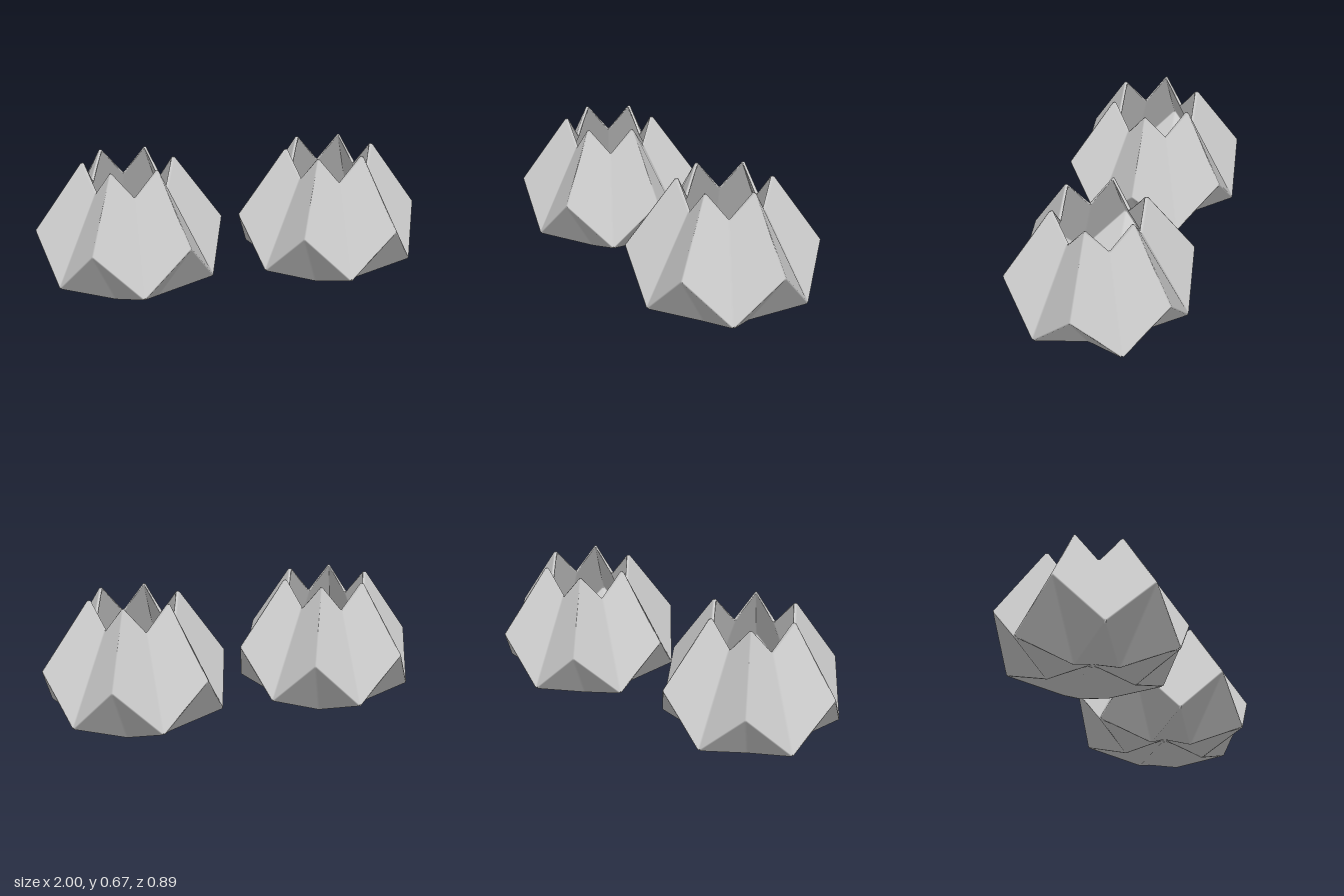
import * as THREE from 'three';

const BEVEL = 0.006;

// Meridian points [radius, height]; ridges at 0, 60, ... degrees, valleys halfway between
const RIDGE = {
  foot: [0.211, -0.004], shoulder: [0.482, 0.335], peak: [0.236, 0.682],
  footIn: [0.207, 0.026], shoulderIn: [0.455, 0.335], peakIn: [0.216, 0.674],
};
const VALLEY = {
  hem: [0.45, 0.1], notch: [0.208, 0.543],
  hemIn: [0.418, 0.116], notchIn: [0.19, 0.536],
};

// Closed folded shell as shared points and polygon facets
function foldedShell() {
  const points = [new THREE.Vector3(0, 0.088, 0), new THREE.Vector3(0, 0.113, 0)];
  const ids = { centre: 0, centreIn: 1 };
  for (let i = 0; i < 12; i++) {
    const a = (i * Math.PI) / 6;
    for (const [name, [r, y]] of Object.entries(i % 2 ? VALLEY : RIDGE)) {
      ids[name + i] = points.length;
      points.push(new THREE.Vector3(r * Math.cos(a), y, r * Math.sin(a)));
    }
  }
  const facets = [];
  for (let r = 0; r < 12; r += 2) {
    for (const side of [1, 11]) {
      const v = (r + side) % 12;
      const add = (names, flip) => {
        const f = names.map((n) => ids[n] ?? ids[n + (n in RIDGE ? r : v)]);
        facets.push((side === 11) !== flip ? f.reverse() : f);
      };
      // Outside and inside skins
      for (const s of ['', 'In']) {
        const flip = s === 'In';
        add(['shoulder', 'peak', 'notch', 'hem'].map((n) => n + s), flip);
        add(['foot', 'shoulder', 'hem'].map((n) => n + s), flip);
        add(['centre', 'foot', 'hem'].map((n) => n + s), flip);
      }
      // Rim strip
      add(['notch', 'peak', 'peakIn', 'notchIn'], false);
    }
  }
  return { points, facets };
}

// Inset each facet, then bridge edges and corners with softly shaded bevels
function bevelFacets({ points, facets }, width) {
  const position = [], normal = [], index = [];
  const corner = new Map(); // "from,to" -> inset corner at "from" and its facet's neighbours
  const fan = (ids) => {
    for (let i = 1; i < ids.length - 1; i++) index.push(ids[0], ids[i], ids[i + 1]);
  };
  for (const f of facets) {
    const n = f.length;
    const norm = new THREE.Vector3();
    f.forEach((a, i) => norm.add(points[a].clone().cross(points[f[(i + 1) % n]])));
    norm.normalize();
    const ids = f.map((a, i) => {
      const next = f[(i + 1) % n], prev = f[(i + n - 1) % n];
      const u = points[next].clone().sub(points[a]).normalize();
      const w = points[prev].clone().sub(points[a]).normalize();
      const p = u.clone().add(w).multiplyScalar(width / Math.sin(u.angleTo(w))).add(points[a]);
      const id = position.length / 3;
      position.push(p.x, p.y, p.z);
      normal.push(norm.x, norm.y, norm.z);
      corner.set(`${a},${next}`, { id, prev, endId: id + (i + 1 < n ? 1 : 1 - n) });
      return id;
    });
    fan(ids);
  }
  // Edge bevels
  for (const [key, c] of corner) {
    const [a, b] = key.split(',').map(Number);
    const d = corner.get(`${b},${a}`);
    if (a < b) fan([c.id, d.endId, d.id, c.endId]);
  }
  // Corner caps
  points.forEach((_, v) => {
    const f = facets.find((g) => g.includes(v));
    const start = f[(f.indexOf(v) + 1) % f.length];
    const ring = [];
    let to = start;
    do {
      const c = corner.get(`${v},${to}`);
      ring.push(c.id);
      to = c.prev;
    } while (to !== start);
    fan(ring);
  });
  const g = new THREE.BufferGeometry();
  g.setAttribute('position', new THREE.Float32BufferAttribute(position, 3));
  g.setAttribute('normal', new THREE.Float32BufferAttribute(normal, 3));
  g.setIndex(index);
  return g;
}

export function createModel() {
  const model = new THREE.Group();
  model.name = 'foldedBowls';
  const geometry = bevelFacets(foldedShell(), BEVEL);
  const material = new THREE.MeshStandardMaterial({ color: 0xcccccc });
  // Matching pair side by side
  for (const [name, x] of [['leftBowl', 0.523], ['rightBowl', -0.523]]) {
    const bowl = new THREE.Mesh(geometry, material);
    bowl.name = name;
    bowl.position.x = x;
    model.add(bowl);
  }
  return model;
}
